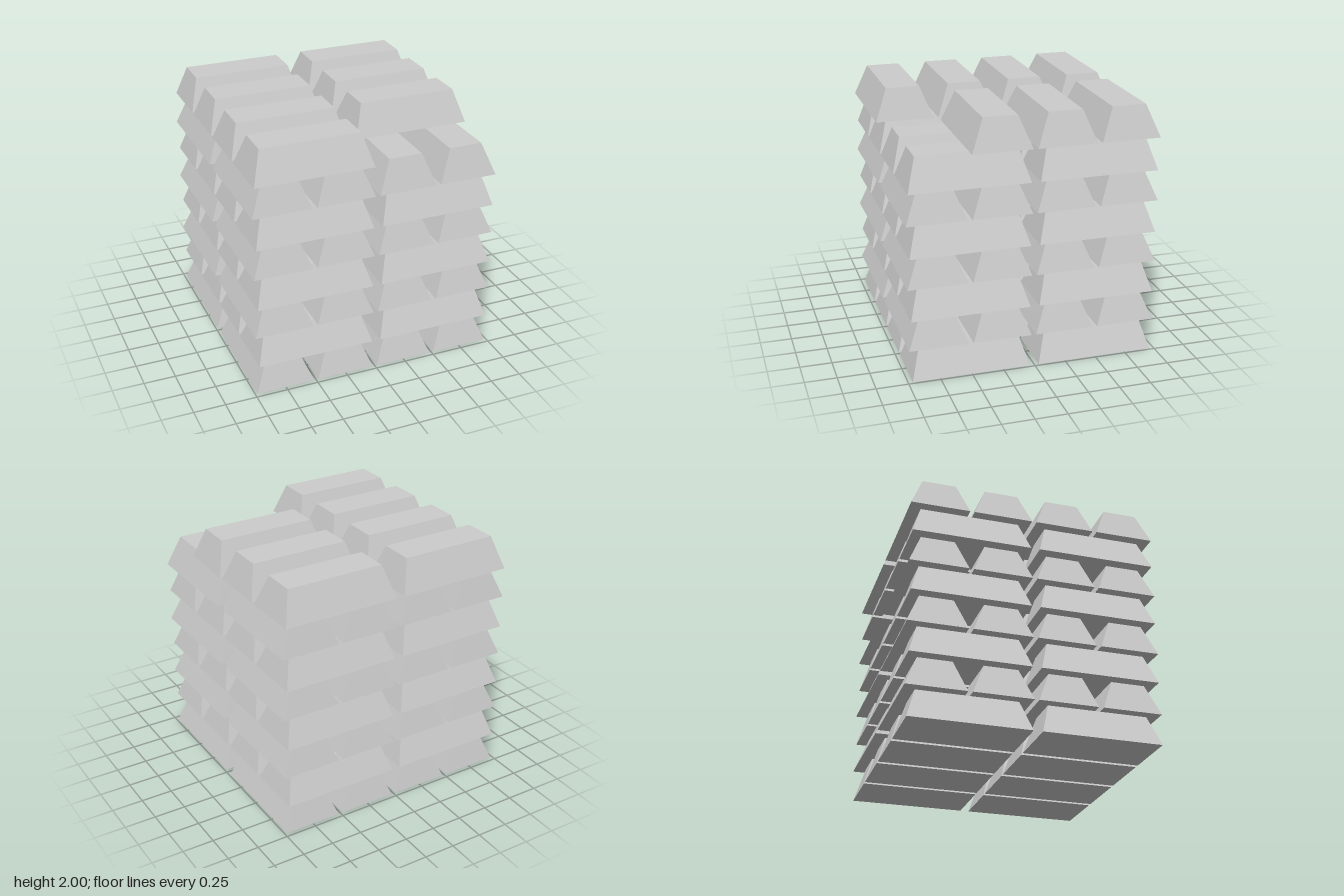
import * as THREE from 'three';

const LAYERS = 8, HEIGHT = 0.25;
const LENGTH = 0.93, TOP_LENGTH = 0.78;
const WIDTH = 0.464, TOP_WIDTH = 0.266;

// Tapered bar lying along x: a box whose upper corners are pulled inwards
function barGeometry() {
  const geometry = new THREE.BoxGeometry(LENGTH, HEIGHT, WIDTH);
  geometry.translate(0, HEIGHT / 2, 0);
  const p = geometry.attributes.position;
  for (let i = 0; i < p.count; i++) {
    if (p.getY(i) < HEIGHT / 2) continue;
    p.setX(i, Math.sign(p.getX(i)) * TOP_LENGTH / 2);
    p.setZ(i, Math.sign(p.getZ(i)) * TOP_WIDTH / 2);
  }
  geometry.computeVertexNormals();
  return geometry;
}

export function createModel() {
  const model = new THREE.Group();
  model.name = 'barPile';
  const geometry = barGeometry();
  const material = new THREE.MeshStandardMaterial({ color: 0xcccccc, flatShading: true });

  // Four stacks; each layer is a pair of bars, turned 90 degrees to the one below
  for (const sx of [-1, 1]) {
    for (const sz of [-1, 1]) {
      const stack = new THREE.Group();
      stack.name = `${sz > 0 ? 'front' : 'back'}${sx > 0 ? 'Left' : 'Right'}Stack`;
      stack.position.set(sx * 0.5, 0, sz * 0.5);
      for (let layer = 0; layer < LAYERS; layer++) {
        const alongX = layer % 2 === 1;
        for (const side of [-1, 1]) {
          // One bar has been taken from the top of the front left stack
          if (layer === LAYERS - 1 && sx > 0 && sz > 0 && side > 0) continue;
          const bar = new THREE.Mesh(geometry, material);
          bar.name = `bar${layer + 1}${side > 0 ? 'B' : 'A'}`;
          bar.position.set(alongX ? 0 : side * 0.25, layer * HEIGHT, alongX ? side * 0.25 : 0);
          if (!alongX) bar.rotation.y = Math.PI / 2;
          stack.add(bar);
        }
      }
      model.add(stack);
    }
  }
  return model;
}
